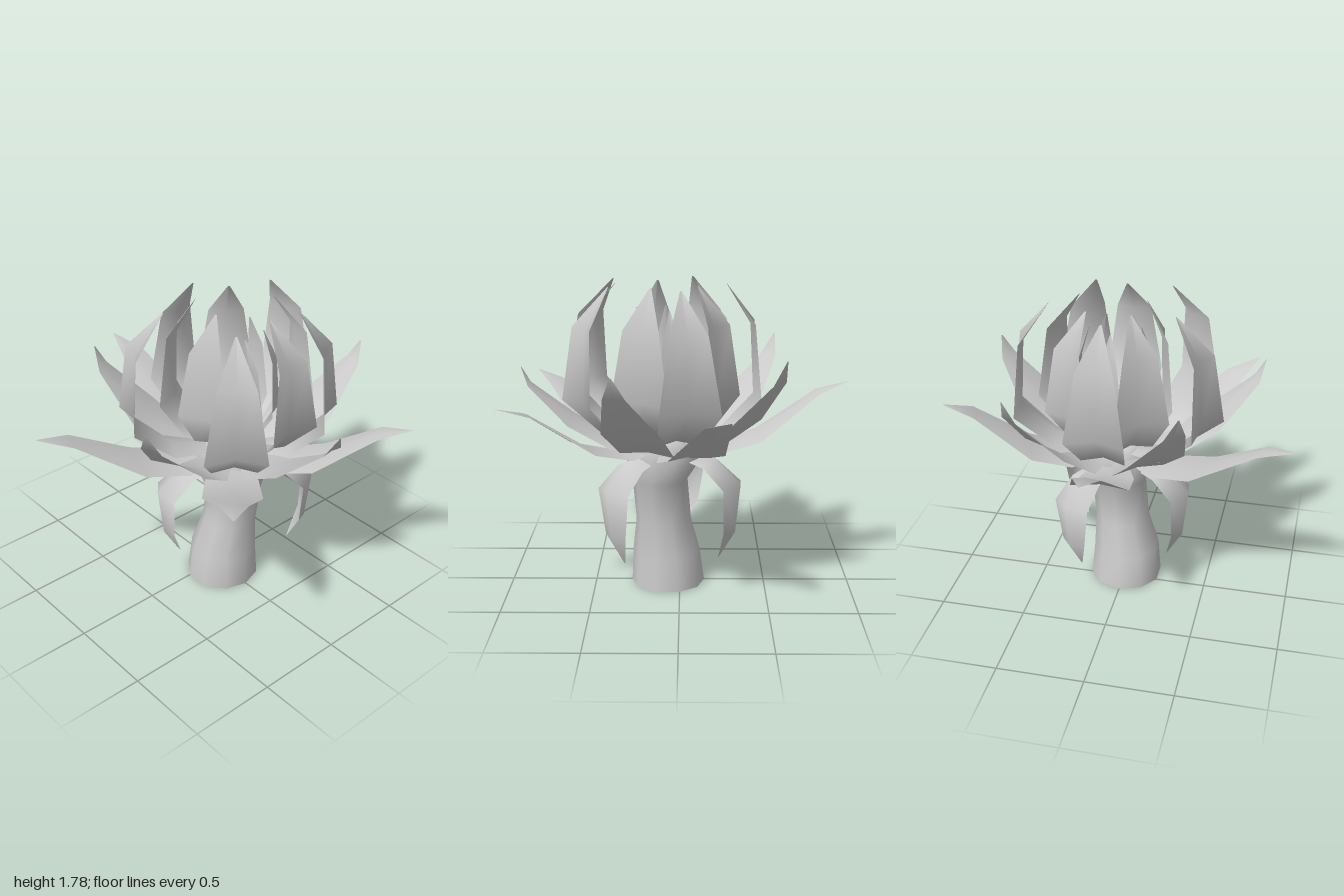
import * as THREE from 'three';

const mat = new THREE.MeshStandardMaterial({ color: 0xcccccc, side: THREE.DoubleSide });
const CX = 0.06, CZ = 0.08; // axis of the bloom

// Smooth sheet from a grid of points: rows of equal length
function sheet(name, rows, closed = false) {
  const n = rows[0].length, index = [];
  for (let i = 0; i < rows.length - 1; i++) {
    for (let j = 0; j < (closed ? n : n - 1); j++) {
      const k = (j + 1) % n;
      const a = i * n + j, b = i * n + k, c = a + n, d = b + n;
      index.push(a, c, b, b, c, d);
    }
  }
  const g = new THREE.BufferGeometry();
  g.setAttribute('position', new THREE.Float32BufferAttribute(rows.flat(2), 3));
  g.setIndex(index);
  g.computeVertexNormals();
  const mesh = new THREE.Mesh(g, mat);
  mesh.name = name;
  return mesh;
}

// Leaf folded along its midrib, running from the axis out to a tip (angle, reach, height).
// profile rows: [share of reach, share of rise, half width]
function leaf(name, { angle, reach, y: tipY }, [r0, y0], profile, fold) {
  const pts = profile.map(([u, v]) =>
    new THREE.Vector2(r0 + u * (reach - r0), y0 + v * (tipY - y0)));
  const c = Math.cos(angle), s = Math.sin(angle);
  return sheet(name, pts.map((p, i) => {
    const t = pts[Math.min(i + 1, pts.length - 1)].clone().sub(pts[Math.max(i - 1, 0)]).normalize();
    const w = profile[i][2];
    return [-1, 0, 1].map((side) => {
      const f = side ? fold * w : 0; // edges shift along the sheet's outer normal
      const r = p.x + t.y * f;
      return [CX + c * r - s * w * side, p.y - t.x * f, CZ + s * r + c * w * side];
    });
  }));
}

// Tips round the axis: angles in degrees, then reach and height of each
function ring(degrees, reaches, heights) {
  return degrees.map((deg, i) => ({
    angle: THREE.MathUtils.degToRad(deg),
    reach: reaches[i],
    y: heights[i % heights.length],
  }));
}

function whorl(name, tips, base, profile, fold) {
  const layer = new THREE.Group();
  layer.name = name + 's';
  for (const tip of tips) layer.add(leaf(name, tip, base, profile, fold));
  return layer;
}

// Upright petal of greatest half width w, swelling past its tip by the factor bulge
const cupProfile = (w, bulge) => [
  [0, 0, 0.35 * w], [0.57 * bulge, 0.08, 0.75 * w], [bulge, 0.3, w],
  [0.95 * bulge, 0.75, 0.62 * w], [1, 1, 0.005],
];

function stem() {
  // Leaning, flared under the bloom, open at the foot: y, x, z, radius
  const sections = [
    [0, 0, 0.07, 0.215], [0.2, 0, 0.08, 0.197], [0.4, 0.03, 0.095, 0.16],
    [0.65, 0.055, 0.115, 0.16], [0.82, 0.05, 0.085, 0.24], [0.93, CX, CZ, 0.15], [0.96, CX, CZ, 0.002],
  ];
  return sheet('stem', sections.map(([y, x, z, r]) =>
    Array.from({ length: 10 }, (_, j) => {
      const a = j / 10 * Math.PI * 2;
      return [x - r * Math.sin(a), y, z + r * Math.cos(a)];
    })), true);
}

export function createModel() {
  const group = new THREE.Group();
  group.add(stem());

  // Long spreading petals
  group.add(whorl('spreadingPetal',
    ring([-92.7, -20, 60, 131.7, 200], [1.05, 0.99, 1.02, 1.1, 1.13], [1.22, 1.21, 1.18, 1.15, 1.17]), [0.1, 0.85],
    [[0, 0, 0.07], [0.2, 0, 0.15], [0.45, 0.2, 0.165], [0.81, 0.86, 0.075], [1, 1, 0.004]], 0.12));

  // Raised petals between the spreading ones
  group.add(whorl('raisedPetal',
    ring([-54, 18.6, 90, 162.4, 234], [0.8, 0.81, 0.82, 0.86, 0.8], [1.43, 1.4, 1.31, 1.4, 1.43]), [0.1, 0.87],
    [[0, 0, 0.07], [0.28, 0.03, 0.16], [0.6, 0.34, 0.175], [0.93, 0.78, 0.065], [1, 1, 0.004]], 0.12));

  // Two upright cups and the small petals round the heart
  group.add(whorl('outerCupPetal',
    ring([-89, -14, 58, 130, 203], [0.34, 0.37, 0.36, 0.4, 0.39], [1.78]), [0.08, 0.9], cupProfile(0.17, 1.6), 0.25));
  group.add(whorl('innerCupPetal',
    ring([-54, 18, 90, 164, 236], [0.22, 0.24, 0.28, 0.17, 0.21], [1.78]), [0.06, 0.92], cupProfile(0.165, 1.85), 0.25));
  group.add(whorl('heartPetal',
    ring([-90, -10, 57, 110, 180], [0.15, 0.15, 0.17, 0.17, 0.14], [1.64]), [0.04, 0.94], cupProfile(0.08, 1.5), 0.25));

  // Drooping sepals under the bloom
  group.add(whorl('sepal', ring([-64, 43, 196], [0.34, 0.34, 0.34], [0.22]), [0.1, 0.83],
    [[0, 0, 0.06], [0.85, 0.03, 0.1], [1.55, 0.25, 0.12], [1.42, 0.72, 0.08], [1, 1, 0.004]], 0.45));

  return group;
}
